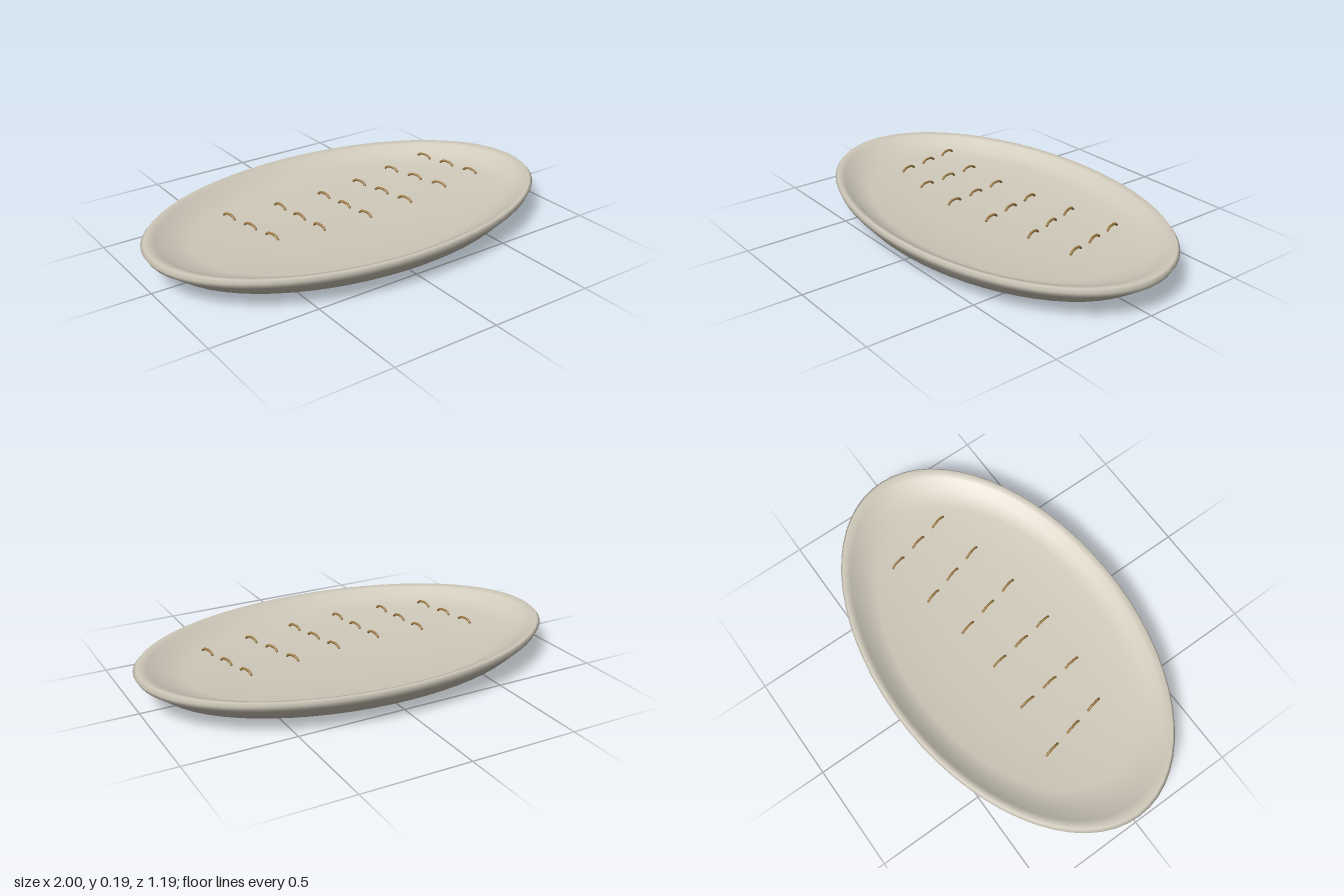
import * as THREE from 'three';

const stoneware = new THREE.MeshStandardMaterial({ color: 0xd0cabb, side: THREE.DoubleSide });
stoneware.name = 'stoneware';
const bronze = new THREE.MeshStandardMaterial({ color: 0xa07d45 });
bronze.name = 'bronze';

export function createModel() {
  const model = new THREE.Group();
  model.name = 'ovalDish';

  // Hollow dish, open below: up the outside, over the rim and into the shallow bowl
  const profile = [
    [0.65, 0], [0.9, 0.06], [0.985, 0.12], [1, 0.145], [0.985, 0.16],
    [0.94, 0.152], [0.885, 0.115], [0.78, 0.094], [0.5, 0.081], [0.25, 0.074], [0, 0.072],
  ].map(([r, y]) => new THREE.Vector2(r, y));
  const dishGeometry = new THREE.LatheGeometry(profile, 64);
  dishGeometry.scale(1, 1, 0.597);
  const dish = new THREE.Mesh(dishGeometry, stoneware);
  dish.name = 'dish';
  model.add(dish);

  // Six slanted columns of three small arched ribs: centre x, z and x step per rib
  const columns = [
    [-0.522, 0.002, 0.028], [-0.297, 0.042, 0.016], [-0.066, 0.055, 0.02],
    [0.161, 0.032, 0.031], [0.388, -0.008, 0.038], [0.617, -0.045, 0.033],
  ];
  const ribs = new THREE.Group();
  ribs.name = 'ribs';
  const arch = new THREE.CatmullRomCurve3([
    [0.174, -0.036], [0.184, -0.022], [0.187, 0], [0.184, 0.022], [0.174, 0.036],
  ].map(([y, z]) => new THREE.Vector3(0, y, z)));
  const ribGeometry = new THREE.TubeGeometry(arch, 12, 0.0055, 8);
  // Round ends close each rib
  const endGeometry = new THREE.SphereGeometry(0.0055, 8, 6);
  for (const [x, z, step] of columns) {
    for (let i = -1; i <= 1; i++) {
      const rib = new THREE.Group();
      rib.name = 'rib';
      const arc = new THREE.Mesh(ribGeometry, bronze);
      arc.name = 'ribArch';
      rib.add(arc);
      for (const side of [-1, 1]) {
        const end = new THREE.Mesh(endGeometry, bronze);
        end.name = 'ribEnd';
        end.position.set(0, 0.174, side * 0.036);
        rib.add(end);
      }
      rib.position.set(x + i * step, 0, z + i * 0.135);
      rib.rotation.y = Math.atan2(step, 0.135);
      ribs.add(rib);
    }
  }
  model.add(ribs);
  return model;
}
